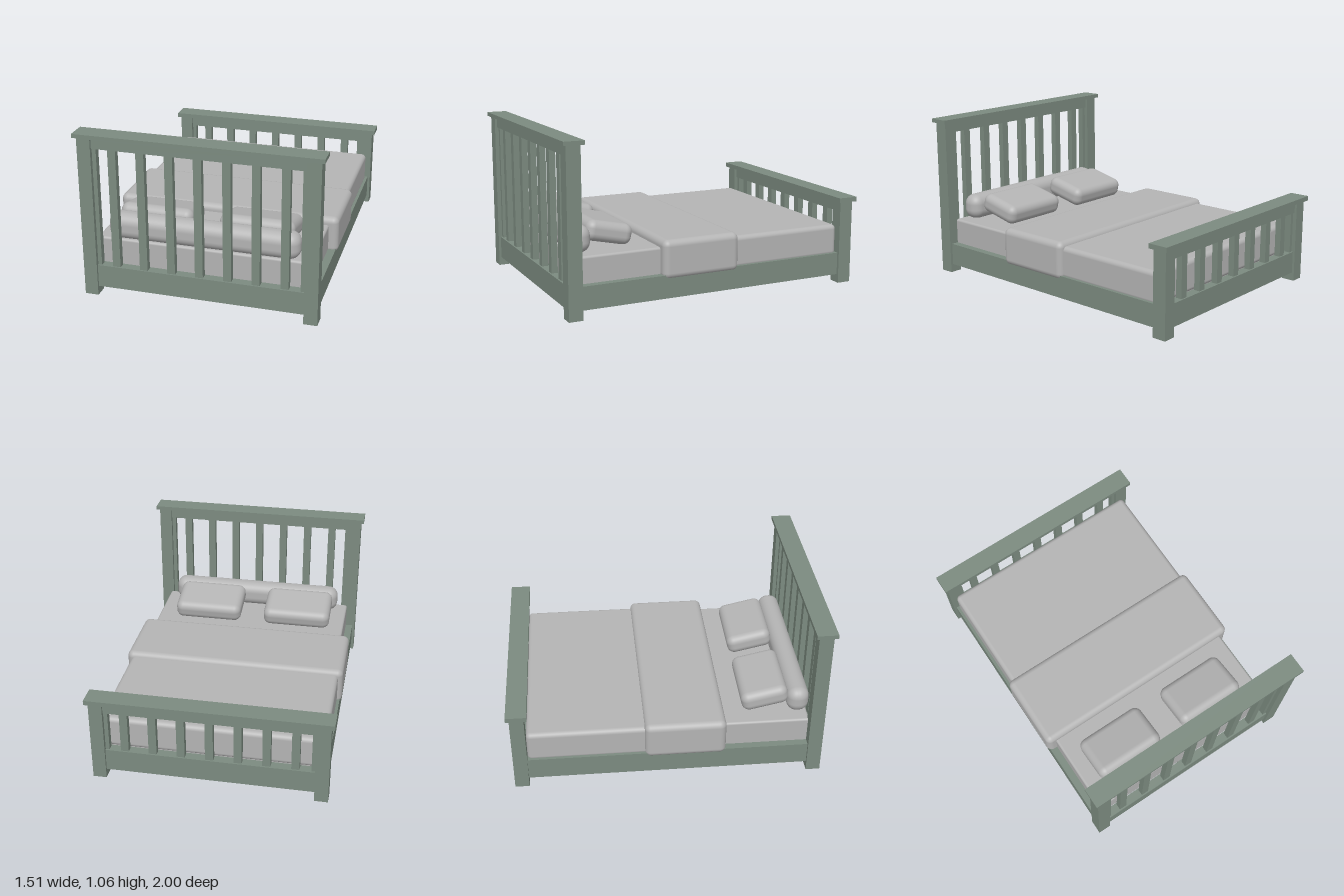
import * as THREE from 'three';
import { RoundedBoxGeometry } from 'three/addons/geometries/RoundedBoxGeometry.js';

export function createModel() {
  const bed = new THREE.Group();
  bed.name = 'bed';
  const paint = new THREE.MeshStandardMaterial({ name: 'sage paint', color: 0x7c8b80 });
  const linen = new THREE.MeshStandardMaterial({ name: 'grey linen', color: 0xb4b4b4 });

  // Each piece is given by its min and max on x, y and z
  function place(parent, name, geometry, material, [x0, x1, y0, y1, z0, z1]) {
    const mesh = new THREE.Mesh(geometry, material);
    mesh.name = name;
    mesh.position.set((x0 + x1) / 2, (y0 + y1) / 2, (z0 + z1) / 2);
    parent.add(mesh);
    return mesh;
  }
  function board(parent, name, b) {
    return place(parent, name, new THREE.BoxGeometry(b[1] - b[0], b[3] - b[2], b[5] - b[4]), paint, b);
  }
  function soft(parent, name, radius, b) {
    const g = new RoundedBoxGeometry(b[1] - b[0], b[3] - b[2], b[5] - b[4], 5, radius);
    return place(parent, name, g, linen, b);
  }

  // Headboard and footboard share one design, differing in height
  function endBoard(name, z, postTop, capTop) {
    const g = new THREE.Group();
    g.name = name;
    const railBottom = postTop - 0.07;
    for (const s of [-1, 1]) {
      const x = s * 0.6925;
      board(g, 'post', [x - 0.0425, x + 0.0425, 0, postTop, -0.045, 0.045]);
      const e = s * 0.638;
      board(g, 'edgeStrip', [e - 0.013, e + 0.013, 0.2, railBottom, -0.02, 0.02]);
    }
    board(g, 'cap', [-0.755, 0.755, postTop, capTop, -0.065, 0.065]);
    board(g, 'topRail', [-0.65, 0.65, railBottom, postTop, -0.03, 0.03]);
    board(g, 'bottomRail', [-0.65, 0.65, 0.055, 0.2, -0.03, 0.03]);
    for (let i = -3; i <= 3; i++) {
      const x = i * 0.176;
      board(g, 'slat', [x - 0.025, x + 0.025, 0.2, railBottom, -0.02, 0.02]);
    }
    g.position.z = z;
    bed.add(g);
  }
  endBoard('headboard', 0.935, 1.035, 1.06);
  endBoard('footboard', -0.935, 0.54, 0.57);

  // Side rails
  for (const s of [-1, 1]) {
    const x = s * 0.688;
    board(bed, 'sideRail', [x - 0.03, x + 0.03, 0.055, 0.2, -0.9, 0.9]);
  }

  // Base: centre beam and cross slats
  board(bed, 'centreBeam', [-0.03, 0.03, 0.075, 0.135, -0.91, 0.91]);
  const slats = 11;
  for (let i = 0; i < slats; i++) {
    const z = -0.8 + (1.6 * i) / (slats - 1);
    board(bed, 'baseSlat', [-0.67, 0.67, 0.135, 0.165, z - 0.035, z + 0.035]);
  }

  // Bedding
  soft(bed, 'mattress', 0.015, [-0.67, 0.67, 0.166, 0.365, -0.88, 0.9]);
  soft(bed, 'duvet', 0.03, [-0.7, 0.7, 0.18, 0.385, -0.89, -0.05]);
  soft(bed, 'foldedThrow', 0.04, [-0.73, 0.73, 0.17, 0.415, -0.15, 0.365]);
  soft(bed, 'bolster', 0.065, [-0.6, 0.6, 0.357, 0.525, 0.77, 0.912]);

  // Two pillows leaning on the bolster
  for (const x of [-0.335, 0.303]) {
    const pillow = soft(bed, 'pillow', 0.05, [x - 0.235, x + 0.235, 0.385, 0.515, 0.478, 0.782]);
    pillow.rotation.x = -0.22;
  }
  return bed;
}
